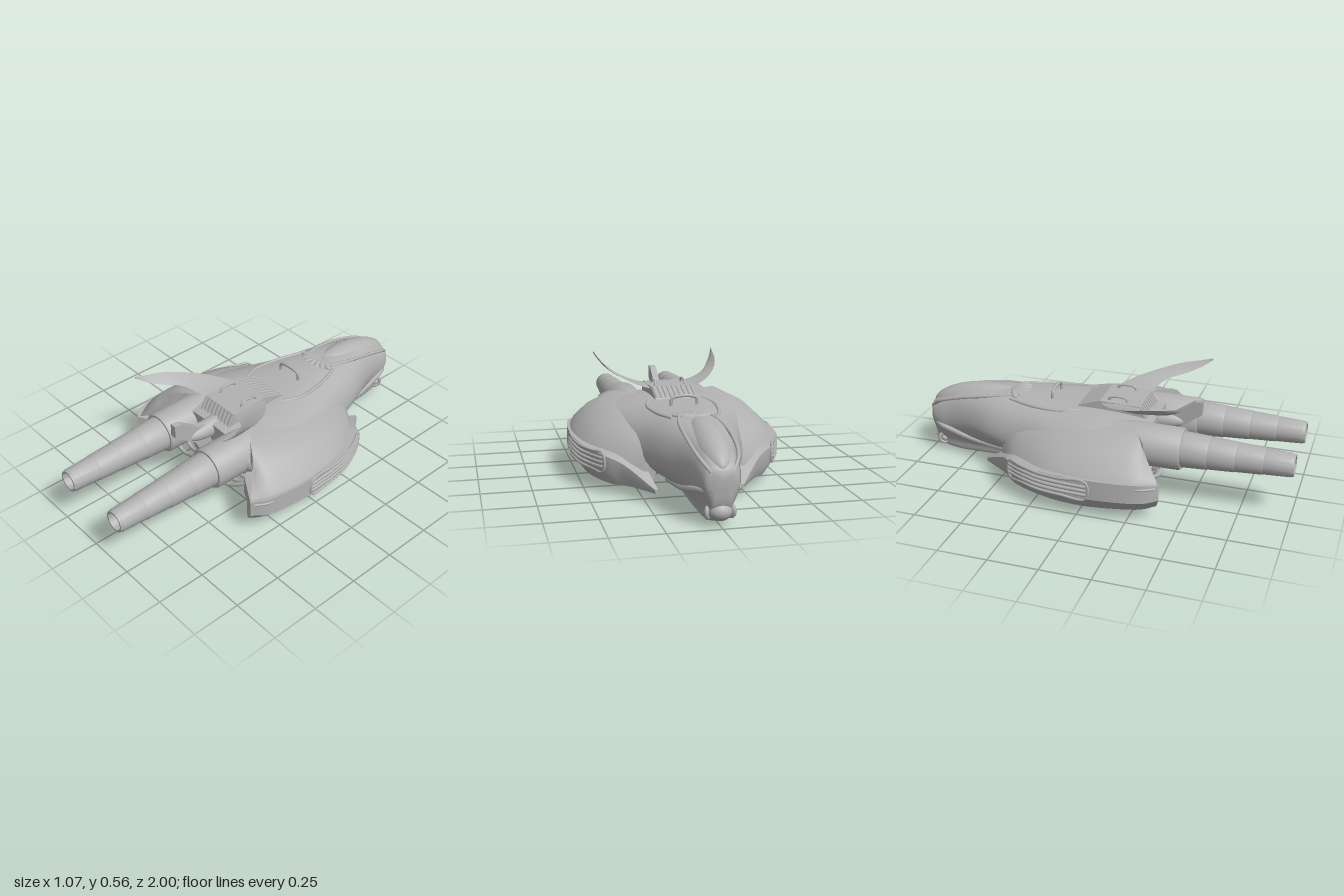
import * as THREE from 'three';
import { toCreasedNormals } from 'three/addons/utils/BufferGeometryUtils.js';

const V = (x, y, z) => new THREE.Vector3(x, y, z);

// Skin closed rings of points; rings run counter-clockwise seen from the far end.
function loft(rings, { smoothRing = 0, steps = 40, crease = 0.6 } = {}) {
  if (smoothRing) {
    rings = rings.map(r => {
      const c = new THREE.CatmullRomCurve3(r, true);
      return Array.from({ length: smoothRing }, (_, i) => c.getPoint(i / smoothRing));
    });
  }
  const n = rings[0].length;
  const columns = rings[0].map((_, j) => new THREE.CatmullRomCurve3(rings.map(r => r[j])));
  const pos = [], idx = [];
  for (let i = 0; i <= steps; i++) {
    for (const c of columns) pos.push(...c.getPoint(i / steps).toArray());
  }
  for (let i = 0; i < steps; i++) for (let j = 0; j < n; j++) {
    const k = (j + 1) % n, a = i * n + j, b = i * n + k;
    idx.push(a, b, b + n, a, b + n, a + n);
  }
  for (const end of [0, steps]) {
    const centre = V(0, 0, 0), at = pos.length / 3;
    for (let j = 0; j < n; j++) centre.add(V(...pos.slice((end * n + j) * 3, (end * n + j) * 3 + 3)));
    pos.push(...centre.divideScalar(n).toArray());
    for (let j = 0; j < n; j++) {
      const a = end * n + j, b = end * n + (j + 1) % n;
      idx.push(at, ...(end ? [a, b] : [b, a]));
    }
  }
  const g = new THREE.BufferGeometry();
  g.setAttribute('position', new THREE.Float32BufferAttribute(pos, 3));
  g.setIndex(idx);
  return toCreasedNormals(g, crease);
}

// Mirror a geometry across x = 0, keeping faces outward.
function mirrored(geometry) {
  const g = geometry.index ? geometry.toNonIndexed() : geometry.clone();
  for (const name of Object.keys(g.attributes)) {
    const a = g.attributes[name], s = a.itemSize;
    for (let t = 0; t < a.count; t += 3) for (let k = 0; k < s; k++) {
      const p = (t + 1) * s + k, q = (t + 2) * s + k;
      [a.array[p], a.array[q]] = [a.array[q], a.array[p]];
    }
    if (name !== 'uv') for (let i = 0; i < a.count; i++) a.setX(i, -a.getX(i));
  }
  return g;
}

const tube = (pts, r, closed = false) =>
  new THREE.TubeGeometry(new THREE.CatmullRomCurve3(pts, closed), 40, r, 8, closed);
const lathe = pts =>
  toCreasedNormals(new THREE.LatheGeometry(pts.map(p => new THREE.Vector2(...p)), 36), 0.5);

export function createModel() {
  const model = new THREE.Group();
  model.name = 'spacecraft';
  const grey = new THREE.MeshStandardMaterial({ color: 0xb2b2b2 });
  grey.name = 'hull grey';
  const add = (name, g) => {
    const m = new THREE.Mesh(g, grey);
    m.name = name;
    model.add(m);
  };
  const pair = (name, g) => { add(name + 'Left', g); add(name + 'Right', mirrored(g)); };

  // Main hull: z, half width, top, widest height, bottom, keel half width
  const hull = [
    [-0.995, .04, .26, .22, .18, .03], [-.98, .075, .28, .2, .1, .05], [-.93, .095, .315, .19, .02, .055],
    [-.85, .11, .35, .2, 0, .06], [-.75, .14, .375, .2, 0, .065], [-.6, .2, .39, .19, .005, .07],
    [-.4, .265, .395, .17, .02, .075], [-.2, .35, .395, .18, .03, .08], [0, .42, .395, .2, .03, .075],
    [.15, .4, .385, .22, .04, .06], [.28, .3, .37, .25, .08, .05],
  ].map(([z, w, yt, ym, yb, kw]) => {
    const low = ym - yb, up = yt - ym;
    const side = [[kw * .8, yb + low * .04], [kw, yb + low * .28], [kw + (w - kw) * .6, ym - low * .4],
      [w, ym], [w * .88, ym + up * .58], [w * .55, ym + up * .91]];
    return [V(0, yb, z), ...side.map(p => V(p[0], p[1], z)), V(0, yt, z),
      ...side.reverse().map(p => V(-p[0], p[1], z))];
  });
  add('hull', loft(hull, { smoothRing: 56, steps: 60, crease: 1 }));

  // Head: canopy, scalloped collar, cheek ridges and mouth parts
  const canopy = new THREE.SphereGeometry(1, 40, 24).scale(.092, .1, .265).rotateX(-.15);
  add('canopy', canopy.translate(0, .297, -.73));
  for (let i = -3; i <= 3; i++) {
    const a = i * .36;
    add('collarScallop', new THREE.SphereGeometry(1, 12, 8).scale(.02, .014, .06).rotateY(a)
      .translate(Math.sin(a) * .06, .388, -.52 + Math.cos(a) * .045));
  }
  pair('canopyRim', tube([V(.05, .25, -.985), V(.088, .3, -.92), V(.105, .345, -.78), V(.1, .376, -.6), V(.08, .388, -.5)], .009));
  pair('cheekRidge', tube([V(.04, .17, -.98), V(.085, .16, -.93), V(.1, .14, -.85), V(.11, .11, -.72), V(.13, .09, -.5)], .016));
  pair('mouthPort', new THREE.TorusGeometry(.027, .01, 10, 24).rotateY(Math.PI / 2 - .5).translate(.05, .06, -.93));
  pair('mouthPlug', new THREE.SphereGeometry(.02, 16, 12).translate(.048, .06, -.93));
  add('chin', new THREE.SphereGeometry(1, 24, 16).scale(.055, .045, .05).translate(0, .065, -.945));

  // Armoured shoulders arching out over the side pods, cut back on the inside at the rear
  const arch = [[.515, .2], [.49, .245], [.415, .315], [.32, .365], [.2, .38],
    [.2, .33], [.28, .305], [.36, .265], [.4, .2]];
  const shoulder = [[-.5, .5, -.11, 0, 0], [-.4, .74, -.09, 0, 0], [-.2, .95, -.04, 0, 0], [0, 1.01, -.01, .2, 0],
    [.18, 1, 0, .22, 0], [.3, .96, -.005, .29, .05], [.385, .89, -.03, .34, .1]]
    .map(([z, f, dy, min, cut]) => arch.map(([x, y], i) => {
      const px = Math.max(x * f, min - i * .001);
      return V(px, y + dy, z - cut * Math.min(1, Math.max(0, (.43 - px) / .09)));
    }));
  pair('shoulder', loft(shoulder, { steps: 32, crease: .8 }));

  // Side pods: z, inner x, outer x, bottom, top, rear cut on the inside
  const pod = [[-.6, .2, .215, .05, .07, 0], [-.45, .24, .34, .05, .16, 0], [-.38, .26, .42, .045, .19, 0],
    [-.2, .3, .5, .037, .205, 0], [0, .32, .525, .032, .21, 0], [.2, .29, .522, .04, .213, .03],
    [.33, .265, .495, .045, .21, .08], [.4, .28, .45, .06, .2, .11]]
    .map(([z, a, b, c, d, cut]) => {
      const u = (b - a) * .28, v = (d - c) * .42;
      return [V(a, c + v * .5, z - cut), V(a + u * .4, c, z - cut), V(b - u, c, z - cut * .2),
        V(b, c + v, z), V(b, d, z), V(a, d, z - cut)];
    });
  pair('sidePod', loft(pod, { steps: 36 }));

  // Framed vents on the pod sides
  const outer = [[.06, .526], [-.08, .52], [-.2, .502], [-.3, .462], [-.38, .42]];
  const line = y => outer.map(([z, x]) => V(x, y, z));
  pair('ventFrame', tube([...line(.198), ...line(.108).reverse()], .007, true));
  for (const y of [.13, .152, .174]) pair('ventSlat', tube(line(y), .009));
  pair('podLatch', tube([V(.503, .187, .3), V(.493, .187, .335), V(.462, .187, .385)], .006));

  // Engines: fairing, sleeve and tapering ringed nozzle
  const ex = .186, ey = .276;
  pair('engineFairing', new THREE.SphereGeometry(1, 28, 20).scale(.1, .11, .2).translate(ex, .25, .17));
  pair('engineSleeve', lathe([[0, 0], [.1, 0], [.108, .2], [.106, .44], [.1, .452], [.09, .452]])
    .rotateX(Math.PI / 2).translate(ex, ey, 0));
  const nozzle = [[.085, .4]];
  const stages = 4;
  for (let i = 0; i < stages; i++) {
    const z = .455 + i * .135, r = .09 - i * .0085;
    nozzle.push([r, z], [r - .006, z + .125], [r - .009, z + .13]);
  }
  nozzle.push([.054, 1], [.045, 1], [.04, .93], [.028, .93], [.02, .945], [0, .95]);
  pair('engineNozzle', lathe(nozzle).rotateX(Math.PI / 2).translate(ex, ey, 0));

  // Raised back deck with ribs, handles and a grab bar
  const slab = (pts, w) => {
    const g = new THREE.ExtrudeGeometry(new THREE.Shape(pts.map(p => new THREE.Vector2(...p))),
      { depth: w, bevelEnabled: false });
    return g.rotateY(-Math.PI / 2).translate(w / 2, 0, 0);
  };
  add('backDeck', slab([[-.14, .36], [.24, .36], [.2, .432], [-.01, .437], [-.12, .4]], .22));
  for (let i = -4; i <= 4; i++) {
    const x = i * .025;
    add('deckRib', tube([V(x, .398, -.12), V(x, .422, -.05), V(x, .435, -.01)], .008));
    add('deckRearRib', tube([V(x, .43, .203), V(x, .4, .22), V(x, .37, .236)], .007));
  }
  pair('deckHandle', tube([V(.078, .43, .03), V(.078, .45, .04), V(.078, .452, .12), V(.078, .43, .13)], .006));
  add('grabBar', tube([V(-.065, .39, -.28), V(-.06, .43, -.28), V(.06, .43, -.28), V(.065, .39, -.28)], .008));
  pair('backSeam', tube([V(.11, .38, -.5), V(.155, .377, -.35), V(.17, .381, -.2), V(.14, .386, -.1)], .009));

  // Swept upper fins: x, leading z, trailing z, height
  const fin = [[.08, -.02, .2, .422], [.15, .03, .215, .434], [.22, .1, .255, .457],
    [.28, .2, .36, .487], [.315, .31, .43, .52], [.335, .46, .472, .55]]
    .map(([x, a, b, y]) => [V(x, y + .007, (a + b) / 2), V(x, y, b), V(x, y - .007, (a + b) / 2), V(x, y, a)]);
  pair('upperFin', loft(fin, { steps: 24, crease: .9 }));

  // Tail fin, its tapering root and the rear post
  add('tailFin', slab([[.2, .18], [.32, .18], [.38, .3], [.5, .39], [.5, .46], [.46, .455], [.36, .385], [.2, .36]], .034));
  add('tailRoot', new THREE.SphereGeometry(1, 24, 16).scale(.048, .05, .18).translate(0, .335, .24));
  add('rearPost', slab([[.1, .06], [.27, .05], [.32, .09], [.33, .22], [.28, .27], [.1, .27]], .084));
  add('tailPort', new THREE.TorusGeometry(.035, .012, 10, 24).rotateX(.9).translate(0, .065, .27));

  // Pipes sagging from the rear post to the pods
  for (let i = 0; i < 3; i++) {
    const z = .3 - i * .06, y = -.012 * i;
    pair('pipe', tube([V(.03, .17 + y, z), V(.09, .12 + y, z + .02), V(.17, .1 + y, z + .02),
      V(.25, .13 + y, z), V(.31, .17 + y, z - .03)], .011));
  }

  // Round lift fans beneath the hull
  pair('liftFan', lathe([[0, .07], [.028, .065], [.04, .08], [.066, .08], [.076, .058], [.1, .056], [.112, .072], [.118, .2]])
    .translate(.215, 0, -.23));
  return model;
}
